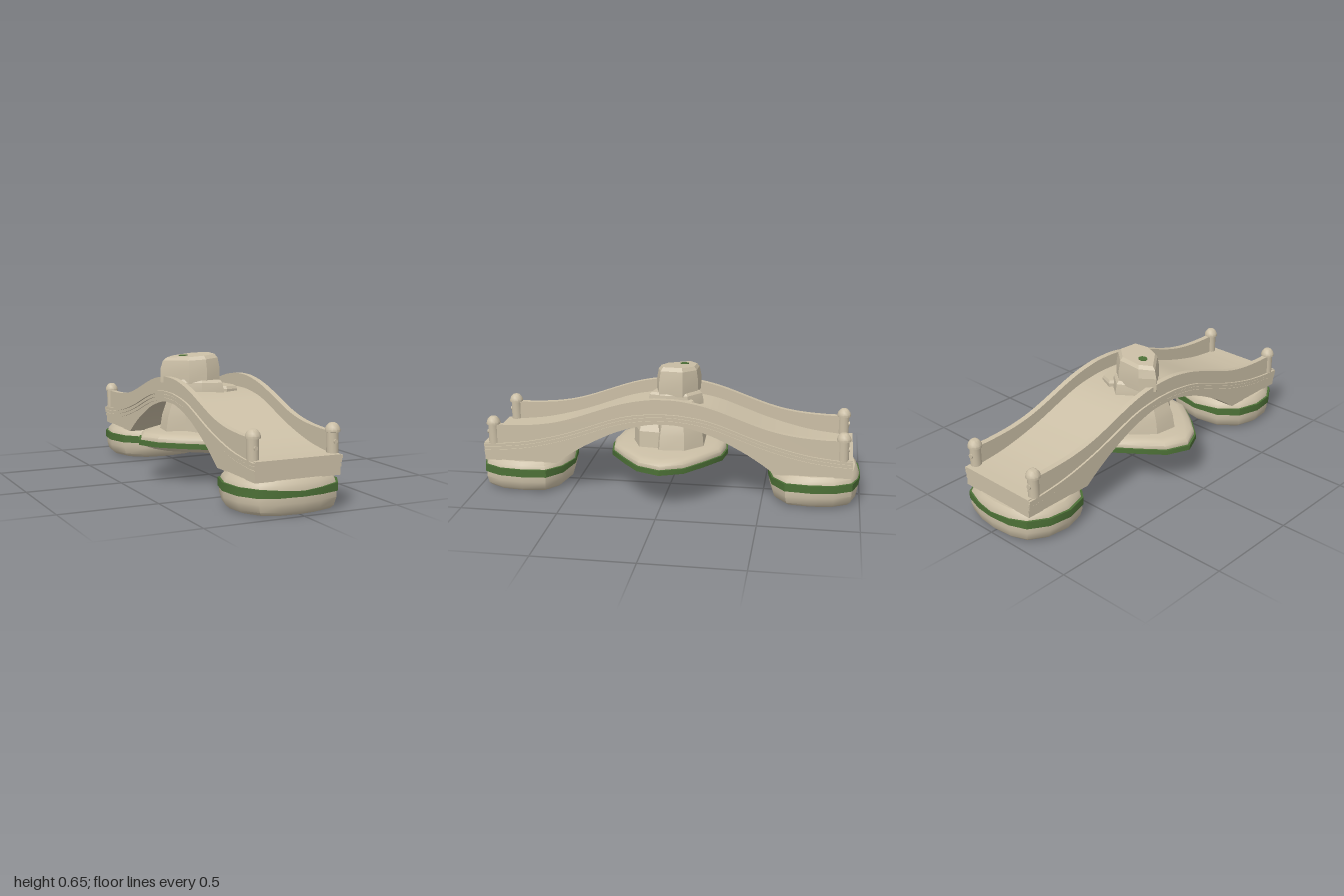
import * as THREE from 'three';
import { toCreasedNormals } from 'three/addons/utils/BufferGeometryUtils.js';

const mat = (name, color) => Object.assign(new THREE.MeshStandardMaterial({ color }), { name });

export function createModel() {
  const model = new THREE.Group();
  const stone = mat('sandstone', 0xcbbfa6);
  const moss = mat('moss green', 0x4c7036);

  const add = (name, geometry, material = stone, parent = model) => {
    const mesh = new THREE.Mesh(geometry, material);
    mesh.name = name;
    parent.add(mesh);
    return mesh;
  };

  // Stack of scaled copies of an [x, z] outline; each ring is [y, scale, slope in x, dx, dz]
  function loft(outline, rings, crease = 0.6, wave = () => 0) {
    const n = outline.length;
    const cx = outline.reduce((s, p) => s + p[0], 0) / n;
    const cz = outline.reduce((s, p) => s + p[1], 0) / n;
    const pos = [], idx = [];
    rings.forEach(([y, s, slope = 0, dx = 0, dz = 0], r) => outline.forEach(([x, z]) => {
      const px = (x - cx) * s;
      pos.push(cx + px + dx, y + slope * px + wave(r, x, z), cz + (z - cz) * s + dz);
    }));
    const last = rings.length - 1;
    for (let r = 0; r < last; r++) for (let i = 0; i < n; i++) {
      const j = (i + 1) % n, a = r * n + i, b = r * n + j;
      idx.push(a, a + n, b, b, a + n, b + n);
    }
    const [, , , dx0 = 0, dz0 = 0] = rings[0], [, , , dx1 = 0, dz1 = 0] = rings[last];
    pos.push(cx + dx0, rings[0][0], cz + dz0, cx + dx1, rings[last][0], cz + dz1);
    for (let i = 0; i < n; i++) {
      const j = (i + 1) % n;
      idx.push(n * (last + 1), i, j, n * (last + 1) + 1, last * n + j, last * n + i);
    }
    const g = new THREE.BufferGeometry();
    g.setAttribute('position', new THREE.Float32BufferAttribute(pos, 3));
    g.setIndex(idx);
    return toCreasedNormals(g, crease);
  }

  // Symmetric curve along z through [z, y] points given from the front end to the crown
  const arc = half => new THREE.SplineCurve(
    [...half, ...half.slice(0, -1).reverse().map(([z, y]) => [-z, y])]
      .map(p => new THREE.Vector2(...p))).getPoints(56);
  const shift = (pts, dy) => pts.map(p => new THREE.Vector2(p.x, p.y + dy));

  // Solid between an upper and a lower curve, from x0 to x1
  function ribbon(top, bottom, x0, x1) {
    const shape = new THREE.Shape([...top, ...[...bottom].reverse()]);
    const g = new THREE.ExtrudeGeometry(shape, { depth: x1 - x0, bevelEnabled: false });
    g.rotateY(-Math.PI / 2).translate(x1, 0, 0);
    return toCreasedNormals(g, 0.5);
  }

  // Arched deck
  const deckTop = arc([[0.955, 0.258], [0.85, 0.264], [0.7, 0.285], [0.5, 0.338], [0.25, 0.427], [0.1, 0.455], [0, 0.46]]);
  const arch = arc([[0.57, 0.162], [0.5, 0.213], [0.4, 0.275], [0.25, 0.348], [0.1, 0.392], [0, 0.4]]);
  const underside = [new THREE.Vector2(0.955, 0.162), ...arch, new THREE.Vector2(-0.955, 0.162)];
  const bridge = new THREE.Group();
  bridge.name = 'bridge';
  bridge.position.x = -0.007;
  model.add(bridge);
  add('deck', ribbon(deckTop, underside, -0.222, 0.222), stone, bridge);

  // Side rails and mouldings
  const railTop = arc([[0.9, 0.36], [0.8, 0.36], [0.65, 0.372], [0.5, 0.405], [0.25, 0.492], [0.1, 0.525], [0, 0.531]]);
  const railBase = shift(deckTop.filter(p => Math.abs(p.x) <= 0.91), -0.02);
  for (const side of [-1, 1]) {
    const strip = (name, top, bottom, a, b) => add(name,
      ribbon(top, bottom, Math.min(side * a, side * b), Math.max(side * a, side * b)), stone, bridge);
    strip('rail', railTop, railBase, 0.194, 0.224);
    [[-0.004, -0.018, 0.234], [-0.021, -0.037, 0.23], [-0.04, -0.057, 0.227]].forEach(([hi, lo, w]) =>
      strip('moulding', shift(deckTop, hi), shift(deckTop, lo), 0.215, w));
  }

  // Corner posts with domed caps and small round bosses
  const postProfile = [[0, 0.25], [0.028, 0.25], [0.028, 0.355], [0.036, 0.357], [0.036, 0.368],
    [0.031, 0.382], [0.019, 0.396], [0.008, 0.4], [0, 0.4]].map(p => new THREE.Vector2(...p));
  const postGeo = toCreasedNormals(new THREE.LatheGeometry(postProfile, 12), 0.6);
  const bossGeo = new THREE.CylinderGeometry(0.01, 0.013, 0.064, 10).rotateX(Math.PI / 2);
  for (const x of [-0.207, 0.207]) for (const z of [-0.905, 0.905]) {
    add('post', postGeo, stone, bridge).position.set(x, 0, z);
    add('postBoss', bossGeo, stone, bridge).position.set(x, 0.315, z);
  }

  // End foundations, mirrored front to back, each with a moss band
  const footFront = [[0.25, 0.62], [0.263, 0.75], [0.25, 0.87], [0.2, 0.96], [0.1, 0.99], [0, 1], [-0.12, 0.99],
    [-0.21, 0.955], [-0.27, 0.86], [-0.285, 0.74], [-0.25, 0.62], [-0.15, 0.54], [0, 0.52], [0.16, 0.55]];
  const footBack = footFront.map(([x, z]) => [x, -z]).reverse();
  const bandWave = (r, x, z) => (r === 2 || r === 3) ? -0.014 * Math.max(0, 1 - Math.abs(x) / 0.2) : 0;
  for (const outline of [footFront, footBack]) {
    add('endFoundation', loft(outline, [[0, 0.8], [0.006, 0.87], [0.022, 0.935], [0.06, 0.975], [0.12, 0.975],
      [0.148, 0.93], [0.165, 0.87]], 0.75));
    add('mossBand', loft(outline, [[0.09, 0.92], [0.09, 1], [0.13, 1], [0.13, 0.92]], 0.6, bandWave), moss);
  }

  // Middle foundation
  const island = [[0.395, 0], [0.345, 0.12], [0.24, 0.205], [0.12, 0.29], [0, 0.308], [-0.13, 0.29], [-0.25, 0.2],
    [-0.35, 0.11], [-0.4, 0], [-0.35, -0.12], [-0.25, -0.2], [-0.13, -0.29], [0, -0.308], [0.12, -0.29],
    [0.24, -0.205], [0.345, -0.12]];
  add('middleFoundation', loft(island, [[0.158, 0.68], [0.163, 0.78], [0.178, 0.88], [0.192, 0.96], [0.216, 0.97],
    [0.235, 0.965], [0.25, 0.92], [0.257, 0.82]], 0.75));
  add('middleMossBand', loft(island, [[0.191, 0.9], [0.191, 1], [0.217, 1], [0.217, 0.9]]), moss);

  // Rocks under the arch
  const pillar = [[0.19, -0.1], [0.2, 0.03], [0.1, 0.07], [-0.12, 0.08], [-0.265, 0.04], [-0.25, -0.08], [-0.15, -0.18], [0.1, -0.19]];
  add('pillarRock', loft(pillar, [[0.245, 1], [0.33, 0.94], [0.37, 0.88], [0.43, 0.78]], 0.2));
  const chip = [[0.17, 0.03], [0.16, 0.14], [0.05, 0.185], [-0.12, 0.17], [-0.17, 0.06], [-0.05, 0]];
  add('frontRock', loft(chip, [[0.245, 1], [0.34, 0.95], [0.375, 0.83]], 0.2));

  // Rocks breaking through the deck
  const low = [[0.145, 0], [0.12, 0.09], [0.05, 0.11], [-0.02, 0.04], [0, -0.1], [0.04, -0.135], [0.12, -0.1]];
  add('lowRock', loft(low, [[0.43, 1], [0.468, 1, -0.05], [0.482, 0.93, -0.07]], 0.2));
  const ledge = [[0.047, -0.1], [0.05, 0.02], [0.03, 0.115], [-0.08, 0.085], [-0.185, 0.03], [-0.17, -0.1], [-0.04, -0.17]];
  add('ledgeRock', loft(ledge, [[0.43, 1], [0.46, 1], [0.503, 0.94], [0.517, 0.86, -0.03]], 0.2));
  const boulder = [[0.047, -0.07], [0.035, 0.055], [-0.05, 0.08], [-0.14, 0.05], [-0.242, -0.085], [-0.17, -0.14], [-0.035, -0.14]];
  add('boulder', loft(boulder, [[0.498, 1], [0.57, 1], [0.622, 0.92, 0.07], [0.64, 0.8, 0.09]], 0.2));

  // Moss patch on the sloping boulder top
  const patch = add('mossPatch', new THREE.CylinderGeometry(0.024, 0.024, 0.006, 7), moss);
  patch.position.set(-0.125, 0.636, -0.057);
  patch.rotation.z = Math.atan(0.09);

  return model;
}
